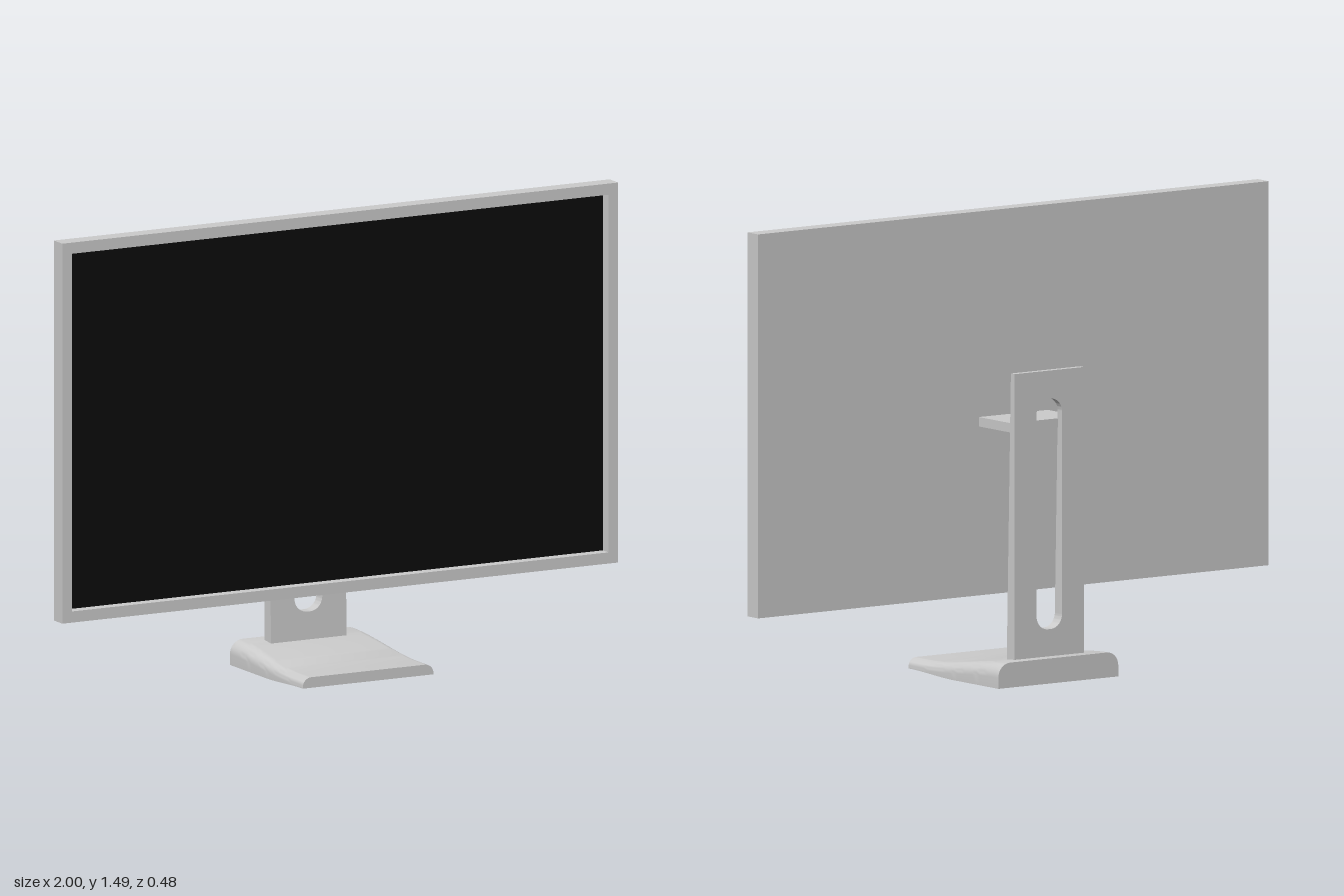
import * as THREE from 'three';
import { toCreasedNormals } from 'three/addons/utils/BufferGeometryUtils.js';

const grey = new THREE.MeshStandardMaterial({ color: 0xcccccc });
const black = new THREE.MeshStandardMaterial({ color: 0x0a0a0a });

function rect(path, x, y0, y1) {
  path.moveTo(-x, y0).lineTo(x, y0).lineTo(x, y1).lineTo(-x, y1).closePath();
  return path;
}

function add(group, name, geometry, material = grey) {
  const mesh = new THREE.Mesh(geometry, material);
  mesh.name = name;
  group.add(mesh);
  return mesh;
}

// Foot: rounded-top cross-sections lofted from front to back
function baseGeometry() {
  const W = 0.235, D = 0.24, steps = 24, arc = 8;
  const pos = [], index = [];
  const n = 2 + 2 * (arc + 1);
  for (let i = 0; i <= steps; i++) {
    const z = D - (2 * D * i) / steps;
    const rise = THREE.MathUtils.smoothstep(-z, -0.16, 0.24);
    const top = 0.044 + 0.036 * rise;
    const bottom = 0.01 * THREE.MathUtils.smoothstep(z, 0, D);
    const r = 0.03 + 0.015 * rise;
    pos.push(-W, bottom, z, W, bottom, z);
    for (const side of [0, 1]) {
      for (let k = 0; k <= arc; k++) {
        const a = (side + k / arc) * Math.PI / 2;
        const cx = side ? -(W - r) : W - r;
        pos.push(cx + r * Math.cos(a), top - r + r * Math.sin(a), z);
      }
    }
  }
  for (let i = 0; i < steps; i++) {
    for (let j = 0; j < n; j++) {
      const a = i * n + j, c = i * n + (j + 1) % n;
      index.push(a, a + n, c, c, a + n, c + n);
    }
  }
  const last = steps * n;
  for (let j = 1; j < n - 1; j++) {
    index.push(0, j, j + 1, last, last + j + 1, last + j);
  }
  const g = new THREE.BufferGeometry();
  g.setAttribute('position', new THREE.Float32BufferAttribute(pos, 3));
  g.setIndex(index);
  return toCreasedNormals(g, 0.6);
}

// Upright: slotted plate whose front face tapers towards the top
function columnGeometry() {
  const shape = rect(new THREE.Shape(), 0.136, 0.06, 0.99);
  const w = 0.05, r = 0.045, y0 = 0.165, y1 = 0.9;
  const slot = new THREE.Path();
  slot.moveTo(-w + r, y0).lineTo(w - r, y0);
  slot.absarc(w - r, y0 + r, r, -Math.PI / 2, 0);
  slot.absarc(w - r, y1 - r, r, 0, Math.PI / 2);
  slot.absarc(-w + r, y1 - r, r, Math.PI / 2, Math.PI);
  slot.absarc(-w + r, y0 + r, r, Math.PI, Math.PI * 1.5);
  shape.holes.push(slot);
  const g = new THREE.ExtrudeGeometry(shape, { depth: 1, bevelEnabled: false, curveSegments: 10 });
  const p = g.attributes.position;
  for (let i = 0; i < p.count; i++) {
    const front = -0.15 - 0.022 * (p.getY(i) - 0.07) / 0.92;
    p.setZ(i, p.getZ(i) > 0.5 ? front : -0.192);
  }
  g.computeVertexNormals();
  return toCreasedNormals(g, 0.6);
}

export function createModel() {
  const model = new THREE.Group();
  model.name = 'monitor';

  // Display: frame around a recessed panel, closed at the back
  const frame = rect(new THREE.Shape(), 1, 0.262, 1.487);
  frame.holes.push(rect(new THREE.Path(), 0.965, 0.298, 1.451));
  add(model, 'frame', new THREE.ExtrudeGeometry(frame, { depth: 0.057, bevelEnabled: false }));
  add(model, 'backPanel', new THREE.BoxGeometry(1.93, 1.153, 0.016)).position.set(0, 0.8745, 0.008);
  add(model, 'screen', new THREE.BoxGeometry(1.93, 1.153, 0.004), black).position.set(0, 0.8745, 0.018);

  // Stand
  const stand = new THREE.Group();
  stand.name = 'stand';
  model.add(stand);
  add(stand, 'base', baseGeometry());
  add(stand, 'column', columnGeometry());
  add(stand, 'mountArm', new THREE.BoxGeometry(0.27, 0.03, 0.17)).position.set(0, 0.816, -0.085);

  return model;
}
